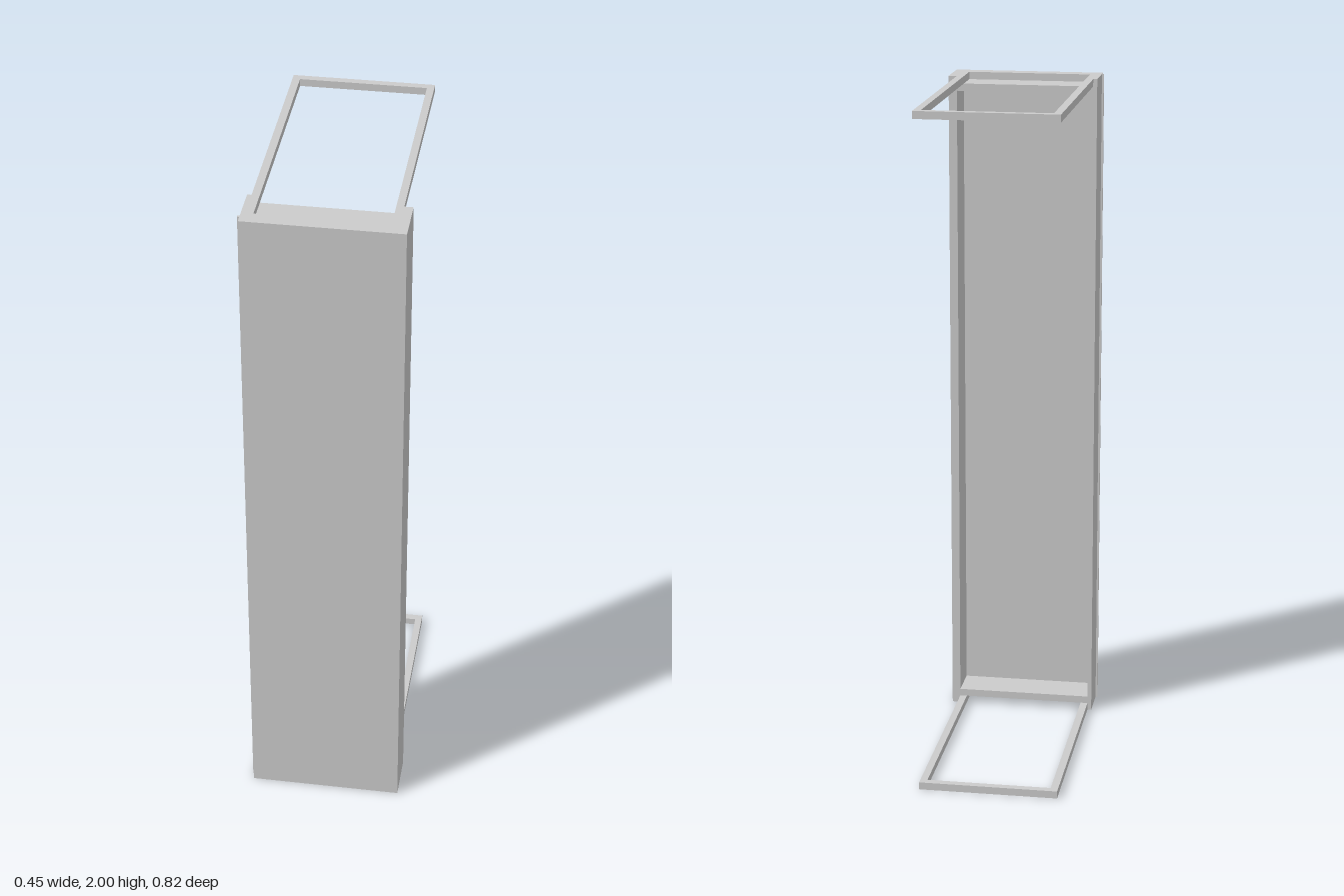
import * as THREE from 'three';

const material = new THREE.MeshStandardMaterial({ color: 0xcccccc, flatShading: true });

// Box given by its minimum and maximum on each axis
function block(name, [x0, x1], [y0, y1], [z0, z1]) {
  const mesh = new THREE.Mesh(new THREE.BoxGeometry(x1 - x0, y1 - y0, z1 - z0), material);
  mesh.position.set((x0 + x1) / 2, (y0 + y1) / 2, (z0 + z1) / 2);
  mesh.name = name;
  return mesh;
}

// Counter-clockwise outline in the shape plane, where shape y is -z
function rectangle(Type, x0, x1, z0, z1) {
  return new Type([[x0, z1], [x1, z1], [x1, z0], [x0, z0]].map(([x, z]) => new THREE.Vector2(x, -z)));
}

// Flat rectangular ring lying between heights y0 and y1
function frame(name, y0, y1) {
  const shape = rectangle(THREE.Shape, -0.208, 0.201, -0.41, 0.387);
  shape.holes.push(rectangle(THREE.Path, -0.186, 0.18, -0.388, 0.366));
  const geometry = new THREE.ExtrudeGeometry(shape, { depth: y1 - y0, bevelEnabled: false });
  geometry.rotateX(-Math.PI / 2);
  const mesh = new THREE.Mesh(geometry, material);
  mesh.position.y = y0;
  mesh.name = name;
  return mesh;
}

export function createModel() {
  const model = new THREE.Group();
  model.name = 'cabinetFront';
  const height = [0, 2];
  const inner = [-0.208, 0.201];
  const depth = [0.272, 0.387];

  // Open-backed shell
  model.add(
    block('frontPanel', [-0.22, 0.226], height, [0.387, 0.41]),
    block('rightWall', [-0.22, -0.208], height, depth),
    block('leftWall', [0.201, 0.226], height, depth),
    block('topPanel', inner, [1.956, 1.978], depth),
    block('bottomPanel', inner, [0.022, 0.044], depth),
  );

  // Thin strip along the right wall
  model.add(block('edgeStrip', [-0.226, -0.22], height, [0.382, 0.388]));

  // Frames reaching to the back
  model.add(frame('topFrame', 1.978, 2), frame('bottomFrame', 0, 0.022));
  return model;
}
